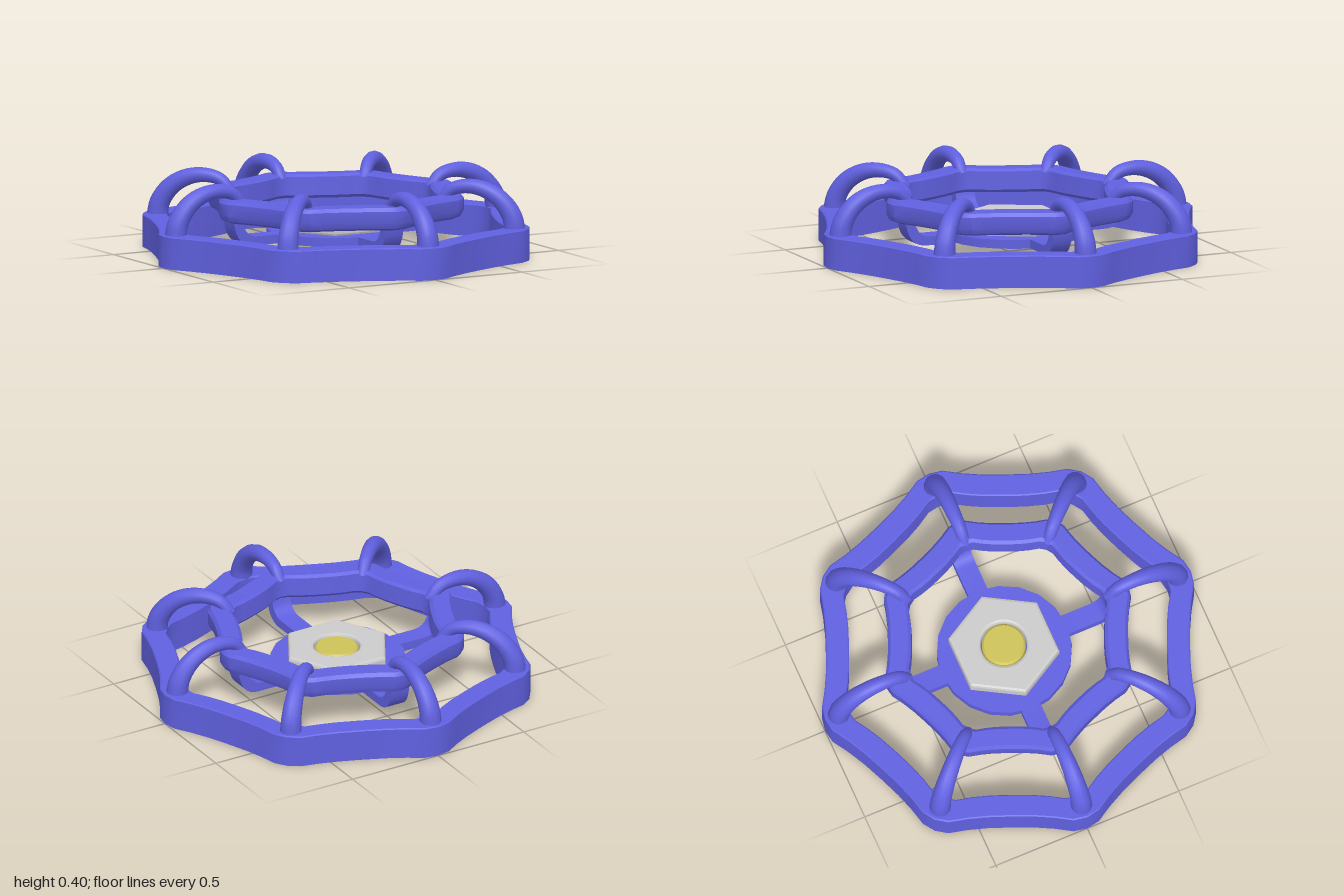
import * as THREE from 'three';
import { toCreasedNormals } from 'three/addons/utils/BufferGeometryUtils.js';

const blue = new THREE.MeshStandardMaterial({ color: 0x6060e0, side: THREE.DoubleSide });
const grey = new THREE.MeshStandardMaterial({ color: 0xcccccc });
const gold = new THREE.MeshStandardMaterial({ color: 0xcdc258 });

// Eight-pointed outline with slightly hollow sides: [angle, radius] around the circle
const octant = [[0, 1], [4, 0.99], [9, 0.95], [15, 0.923], [22.5, 0.913], [30, 0.923], [36, 0.95], [41, 0.99]];
const outline = [];
for (let k = 0; k < 8; k++) {
  for (const [deg, r] of octant) outline.push([THREE.MathUtils.degToRad(deg + 45 * k), r]);
}

// Sweeps a cross-section of [radius, height] points round the outline
function ringGeometry(section, closed) {
  const pos = [], index = [], n = outline.length, m = section.length;
  for (const [a, r] of outline) {
    for (const [k, y] of section) pos.push(Math.sin(a) * r * k, y, Math.cos(a) * r * k);
  }
  for (let i = 0; i < n; i++) {
    for (let j = 0; j < (closed ? m : m - 1); j++) {
      const i2 = (i + 1) % n, j2 = (j + 1) % m;
      const a = i * m + j, b = i2 * m + j, c = i2 * m + j2, d = i * m + j2;
      index.push(a, b, c, a, c, d);
    }
  }
  const g = new THREE.BufferGeometry();
  g.setAttribute('position', new THREE.Float32BufferAttribute(pos, 3));
  g.setIndex(index);
  return toCreasedNormals(g, 0.6);
}

// Curved tube that narrows from its outer foot to its inner end
function archGeometry() {
  const points = [[0.93, 0.13], [0.915, 0.22], [0.86, 0.3], [0.78, 0.35], [0.69, 0.367], [0.6, 0.347], [0.545, 0.285]];
  const path = new THREE.CatmullRomCurve3(points.map(([z, y]) => new THREE.Vector3(0, y, z)));
  const steps = 24, sides = 12;
  const g = new THREE.TubeGeometry(path, steps, 0.057, sides);
  const p = g.attributes.position, v = new THREE.Vector3();
  for (let i = 0; i <= steps; i++) {
    const centre = path.getPointAt(i / steps);
    for (let j = 0; j <= sides; j++) {
      const id = i * (sides + 1) + j;
      v.fromBufferAttribute(p, id).lerp(centre, 0.5 * i / steps);
      p.setXYZ(id, v.x, v.y, v.z);
    }
  }
  return g;
}

// Flat arm that runs outward and bends up under the inner ring
function spokeGeometry() {
  const s = new THREE.Shape();
  s.moveTo(0.28, 0.08);
  s.lineTo(0.5, 0.08);
  s.quadraticCurveTo(0.6, 0.085, 0.61, 0.22);
  s.lineTo(0.56, 0.22);
  s.quadraticCurveTo(0.55, 0.13, 0.48, 0.125);
  s.lineTo(0.28, 0.125);
  const g = new THREE.ExtrudeGeometry(s, { depth: 0.104, bevelEnabled: false, curveSegments: 8 });
  g.translate(0, 0, -0.052);
  return toCreasedNormals(g, 0.6);
}

// Six-sided nut with a round hole and softened edges
function nutGeometry() {
  const bevel = 0.014, s = new THREE.Shape();
  for (let i = 0; i < 6; i++) {
    const a = i * Math.PI / 3, x = 0.264 * Math.cos(a), y = 0.264 * Math.sin(a);
    if (i) s.lineTo(x, y); else s.moveTo(x, y);
  }
  s.closePath();
  s.holes.push(new THREE.Path().absarc(0, 0, 0.13, 0, Math.PI * 2, true));
  const g = new THREE.ExtrudeGeometry(s, {
    depth: 0.042, bevelThickness: bevel, bevelSize: bevel, bevelSegments: 2, curveSegments: 24,
  });
  g.rotateX(-Math.PI / 2);
  g.translate(0, 0.12 + bevel, 0);
  return toCreasedNormals(g, 0.3);
}

export function createModel() {
  const model = new THREE.Group();
  model.name = 'handwheel';
  const add = (parent, name, geometry, material) => {
    const mesh = new THREE.Mesh(geometry, material);
    mesh.name = name;
    parent.add(mesh);
    return mesh;
  };

  // Outer rim, a channel open underneath
  add(model, 'outerRim', ringGeometry([
    [1, 0], [1, 0.16], [0.993, 0.165], [0.88, 0.165], [0.873, 0.16], [0.873, 0],
  ], false), blue);

  // Raised inner ring with a rounded lower edge
  add(model, 'innerRing', ringGeometry([
    [0.615, 0.2], [0.645, 0.212], [0.66, 0.24], [0.66, 0.3], [0.645, 0.318],
    [0.55, 0.32], [0.532, 0.308], [0.527, 0.215], [0.54, 0.2],
  ], true), blue);

  // Arches joining the points of both rings
  const arch = archGeometry();
  for (let i = 0; i < 8; i++) add(model, 'arch', arch, blue).rotation.y = i * Math.PI / 4;

  // Hub with its plate, spokes and nut, set slightly back
  const hub = new THREE.Group();
  hub.name = 'hub';
  hub.position.z = -0.02;
  model.add(hub);
  const plate = new THREE.CylinderGeometry(0.34, 0.34, 0.045, 20);
  plate.translate(0, 0.1025, 0);
  add(hub, 'hubPlate', plate, blue);
  const spoke = spokeGeometry();
  for (let i = 0; i < 4; i++) add(hub, 'spoke', spoke, blue).rotation.y = i * Math.PI / 2;

  const nut = add(hub, 'nut', nutGeometry(), grey);
  nut.position.x = 0.007;

  // Stem end, with a chamfered rim
  const profile = [[0.11, 0.12], [0.11, 0.176], [0.1, 0.186], [0, 0.186]].map(([x, y]) => new THREE.Vector2(x, y));
  const stem = add(hub, 'stemEnd', toCreasedNormals(new THREE.LatheGeometry(profile, 32), 0.5), gold);
  stem.position.x = 0.008;
  return model;
}
